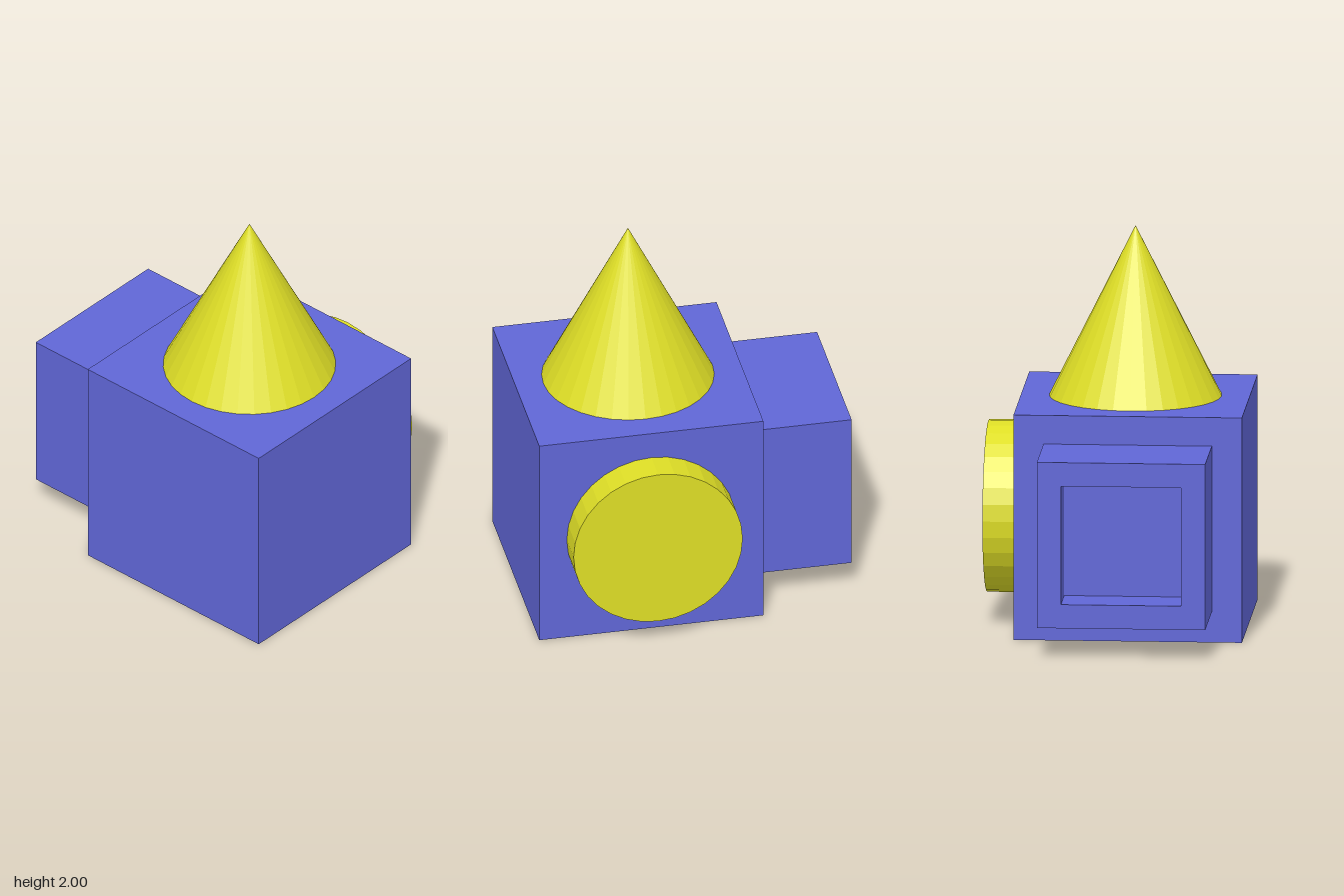
import * as THREE from 'three';

const blue = new THREE.MeshStandardMaterial({ color: 0x6066d6, flatShading: true });
const yellow = new THREE.MeshStandardMaterial({ color: 0xdede26, flatShading: true });

const CX = -0.08, CY = 0.57, CZ = 0.22; // centre of the main cube
const SIZE = 1.14, HALF = SIZE / 2, RADIUS = 0.43, SIDES = 32;

function squarePath(path, half) {
  path.moveTo(-half, -half);
  path.lineTo(half, -half);
  path.lineTo(half, half);
  path.lineTo(-half, half);
  path.closePath();
  return path;
}

export function createModel() {
  const group = new THREE.Group();
  const add = (name, geometry, material, x, y, z) => {
    const mesh = new THREE.Mesh(geometry, material);
    mesh.name = name;
    mesh.position.set(x, y, z);
    group.add(mesh);
    return mesh;
  };

  // Main cube
  add('cubeBody', new THREE.BoxGeometry(SIZE, SIZE, SIZE), blue, CX, CY, CZ);

  // Cone on the top face
  const coneHeight = 2 - SIZE;
  add('topCone', new THREE.ConeGeometry(RADIUS, coneHeight, SIDES), yellow,
    CX, SIZE + coneHeight / 2, CZ);

  // Round disc on the left (+x) face
  const discDepth = 0.165;
  const disc = new THREE.CylinderGeometry(RADIUS, RADIUS, discDepth, SIDES);
  disc.rotateZ(-Math.PI / 2);
  add('sideDisc', disc, yellow, CX + HALF + discDepth / 2, CY, CZ);

  // Box on the back face: a solid base plus a square rim around a recess
  const backZ = -0.83, recess = 0.24, boxHalf = 0.42;
  const baseDepth = CZ - HALF - backZ - recess;
  add('backBoxBase', new THREE.BoxGeometry(boxHalf * 2, boxHalf * 2, baseDepth), blue,
    CX, CY + 0.005, backZ + recess + baseDepth / 2);

  const rim = squarePath(new THREE.Shape(), boxHalf);
  rim.holes.push(squarePath(new THREE.Path(), 0.3));
  add('backBoxRim', new THREE.ExtrudeGeometry(rim, { depth: recess, bevelEnabled: false }),
    blue, CX, CY + 0.005, backZ);

  return group;
}
